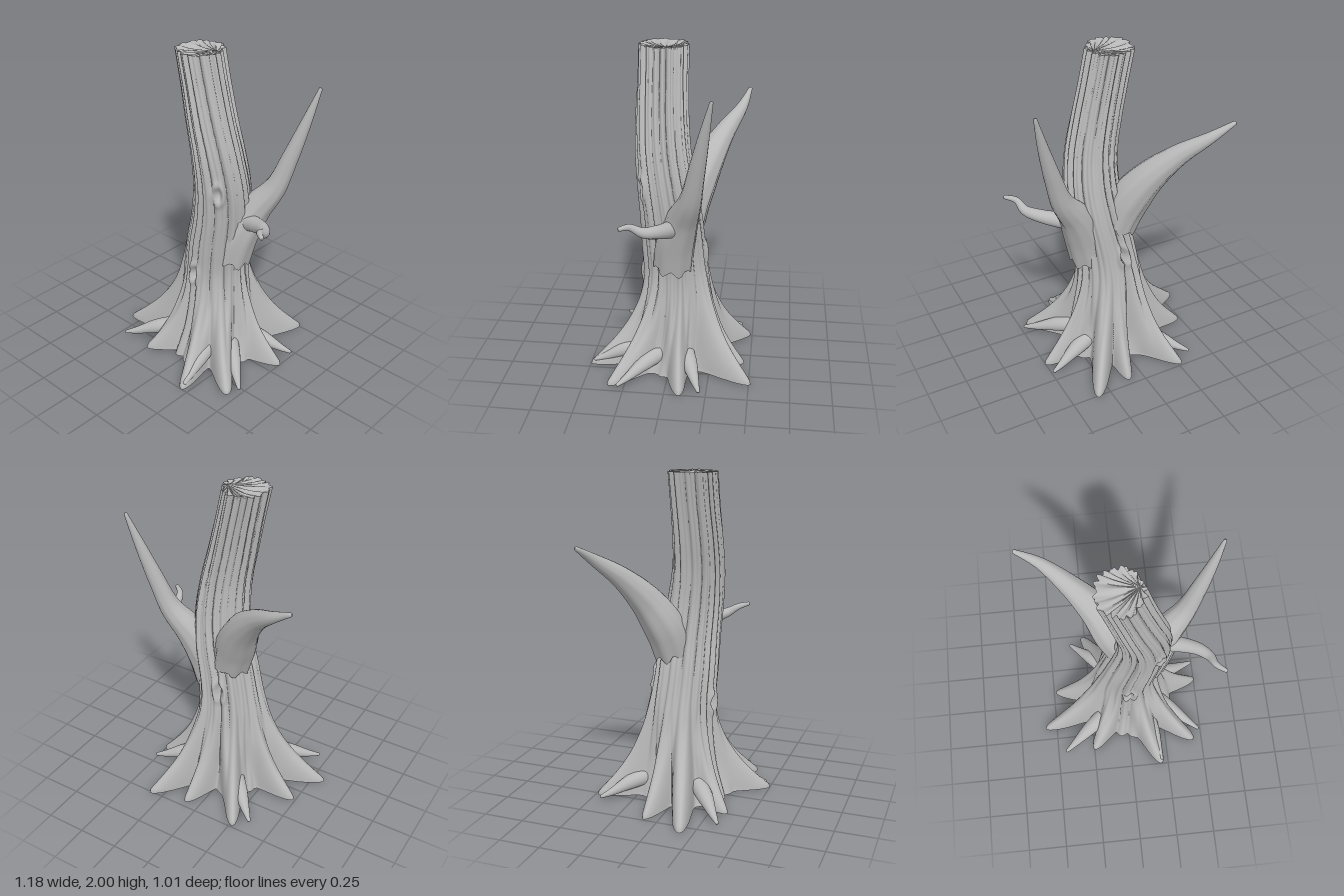
import * as THREE from 'three';

const bark = new THREE.MeshStandardMaterial({ color: 0xb8b8b8, side: THREE.DoubleSide });
bark.name = 'grey bark';

const V = (p) => new THREE.Vector3(...p);
const TAU = Math.PI * 2;
const wrap = (a) => Math.atan2(Math.sin(a), Math.cos(a));

// Closed-ring surface: fn(u around, v along) -> Vector3
function rings(name, rows, segs, fn) {
  const pos = [], idx = [];
  for (let i = 0; i <= rows; i++) {
    for (let j = 0; j < segs; j++) {
      pos.push(...fn(j / segs, i / rows).toArray());
      if (i === rows) continue;
      const a = i * segs + j, b = i * segs + (j + 1) % segs;
      idx.push(a, a + segs, b, b, a + segs, b + segs);
    }
  }
  const g = new THREE.BufferGeometry();
  g.setAttribute('position', new THREE.Float32BufferAttribute(pos, 3));
  g.setIndex(idx);
  g.computeVertexNormals();
  const mesh = new THREE.Mesh(g, bark);
  mesh.name = name;
  return mesh;
}

// Trunk spine: centre x, centre z, radius at every 0.2 of height
const spine = [
  [0.02, 0, 0.28], [0.02, -0.01, 0.22], [0.02, -0.02, 0.195], [0.022, -0.02, 0.185],
  [0.047, -0.01, 0.18], [0.085, 0, 0.17], [0.105, 0.022, 0.158], [0.092, 0.045, 0.146],
  [0.052, 0.055, 0.137], [0.008, 0.055, 0.13], [-0.035, 0.055, 0.128],
];
const spineCurve = new THREE.CatmullRomCurve3(spine.map(V), false, 'catmullrom');

// Buttress roots: tip x, tip z, height of the flare
const roots = [
  [-0.57, 0.165, 0.8], [-0.49, -0.09, 0.78], [-0.265, -0.48, 0.78], [0.095, -0.46, 0.75],
  [0.33, -0.5, 0.75], [0.5, -0.095, 0.65], [0.46, 0.36, 0.65], [0.21, 0.505, 0.6], [-0.26, 0.355, 0.62],
].map(([x, z, top]) => ({ a: Math.atan2(z, x - 0.02), len: Math.hypot(x - 0.02, z) - 0.28, top }));

// Knots in the bark (angle, height)
const knots = [[1.65, 0.6], [0.98, 1.2], [-1.8, 0.74]];

function trunkPoint(a, y) {
  const s = spineCurve.getPoint(y / 2);
  let r = s.z;
  // Bark: rounded ridges of uneven width between sharp grooves
  const w = a + 0.12 * Math.sin(y * 2.3);
  const ridges = 0.55 * Math.abs(Math.sin(8 * w + 0.9 * Math.sin(3 * a)))
    + 0.3 * Math.abs(Math.sin(13 * w + 0.8 * Math.sin(2 * a + y)))
    + 0.15 * Math.sin(5 * a + 1);
  r += (ridges - 0.5) * 0.034;
  // Root flare: narrow at the ground, spreading as it climbs
  const h = Math.max(0, y - 0.02);
  let lobe = 0;
  for (const t of roots) {
    const flare = Math.max(0, 1 - h / t.top) ** 2;
    lobe = Math.max(lobe, t.len * flare * Math.exp(-((wrap(a - t.a) / (0.145 + 0.35 * h)) ** 2)));
  }
  r += lobe;
  // Raised rim and hollow of each knot
  for (const [ka, ky] of knots) {
    const d = Math.hypot(wrap(a - ka) * 0.18 / 0.036, (y - ky) / 0.06);
    if (d < 3) r += 0.016 * Math.exp(-(((d - 1) / 0.4) ** 2)) - 0.02 * Math.exp(-2 * d * d);
  }
  return new THREE.Vector3(s.x + Math.cos(a) * r, y, s.y + Math.sin(a) * r * (1 + 0.035 * y));
}

// Tapered limb along points [x, y, z, radius], fluted and ragged at its base
function limb(name, pts, flute = 0, rows = 36, segs = 32) {
  const curve = new THREE.CatmullRomCurve3(pts.map(V));
  const radii = new THREE.CatmullRomCurve3(pts.map((p, i) => new THREE.Vector3(i, p[3], 0)), false, 'catmullrom');
  const { tangents, normals, binormals } = curve.computeFrenetFrames(rows);
  return rings(name, rows + 1, segs, (u, v) => {
    const i = Math.min(rows, Math.round(v * (rows + 1)));
    const closed = v === 1;
    const t = i / rows, a = -u * TAU;
    const r = closed ? 0 : radii.getPoint(t).y * (1 + flute * (1 - t) * Math.sin(9 * a + Math.sin(2 * a)));
    const hem = flute * 0.4 * Math.max(0, 1 - t * 5) * Math.sin(7 * a);
    return curve.getPointAt(t)
      .addScaledVector(normals[i], Math.cos(a) * r)
      .addScaledVector(binormals[i], Math.sin(a) * r)
      .addScaledVector(tangents[i], hem + (closed ? 0.006 : 0));
  });
}

export function createModel() {
  const tree = new THREE.Group();
  tree.name = 'deadTree';

  // Trunk, with rows packed closer towards the roots
  tree.add(rings('trunk', 120, 240, (u, v) => trunkPoint(u * TAU, 2 * v ** 1.2)));

  // Broken top: shallow splinters fanning out from one side
  tree.add(rings('brokenTop', 5, 240, (u, v) => {
    const a = u * TAU;
    const p = trunkPoint(a, 2).lerp(new THREE.Vector3(0.07, 2, 0.035), v);
    p.y -= Math.sin(v * Math.PI) * (0.012 + 0.008 * Math.sin(13 * a + 2 * Math.sin(3 * a)));
    return p;
  }));

  // Branches
  tree.add(limb('rightBranch', [
    [-0.02, 0.91, -0.075, 0.115], [-0.07, 1.06, -0.105, 0.12], [-0.16, 1.24, -0.185, 0.096],
    [-0.3, 1.405, -0.285, 0.066], [-0.45, 1.525, -0.38, 0.039], [-0.585, 1.61, -0.425, 0.012],
  ], 0.05));
  tree.add(limb('leftBranch', [
    [0.145, 0.7, -0.015, 0.118], [0.19, 0.87, -0.035, 0.115], [0.265, 1.04, -0.085, 0.088],
    [0.37, 1.2, -0.14, 0.06], [0.44, 1.4, -0.18, 0.046], [0.51, 1.63, -0.225, 0.03],
    [0.563, 1.825, -0.265, 0.01],
  ], 0.05));
  tree.add(limb('smallBranch', [
    [0.22, 0.97, -0.04, 0.062], [0.34, 1.0, 0, 0.05], [0.44, 1.03, 0.05, 0.042],
    [0.5, 1.05, 0.11, 0.034], [0.525, 1.09, 0.18, 0.022], [0.58, 1.1, 0.23, 0.012],
  ]));

  // Thin side roots: tip x, tip z, start x, start z
  [
    [-0.45, 0.36, -0.17, 0.15], [-0.36, -0.43, -0.12, -0.2], [0.49, 0.29, 0.2, 0.05],
    [0.5, -0.21, 0.2, -0.1], [0.21, 0.48, 0.14, 0.2],
  ].forEach(([x, z, sx, sz], i) => {
    const at = (t, y, r) => [sx + (x - sx) * t, y, sz + (z - sz) * t, r];
    tree.add(limb('sideRoot' + (i + 1), [
      at(0, 0.12, 0.055), at(0.4, 0.09, 0.048), at(0.75, 0.05, 0.03), at(0.98, 0.03, 0.01),
    ], 0, 14, 16));
  });
  return tree;
}
